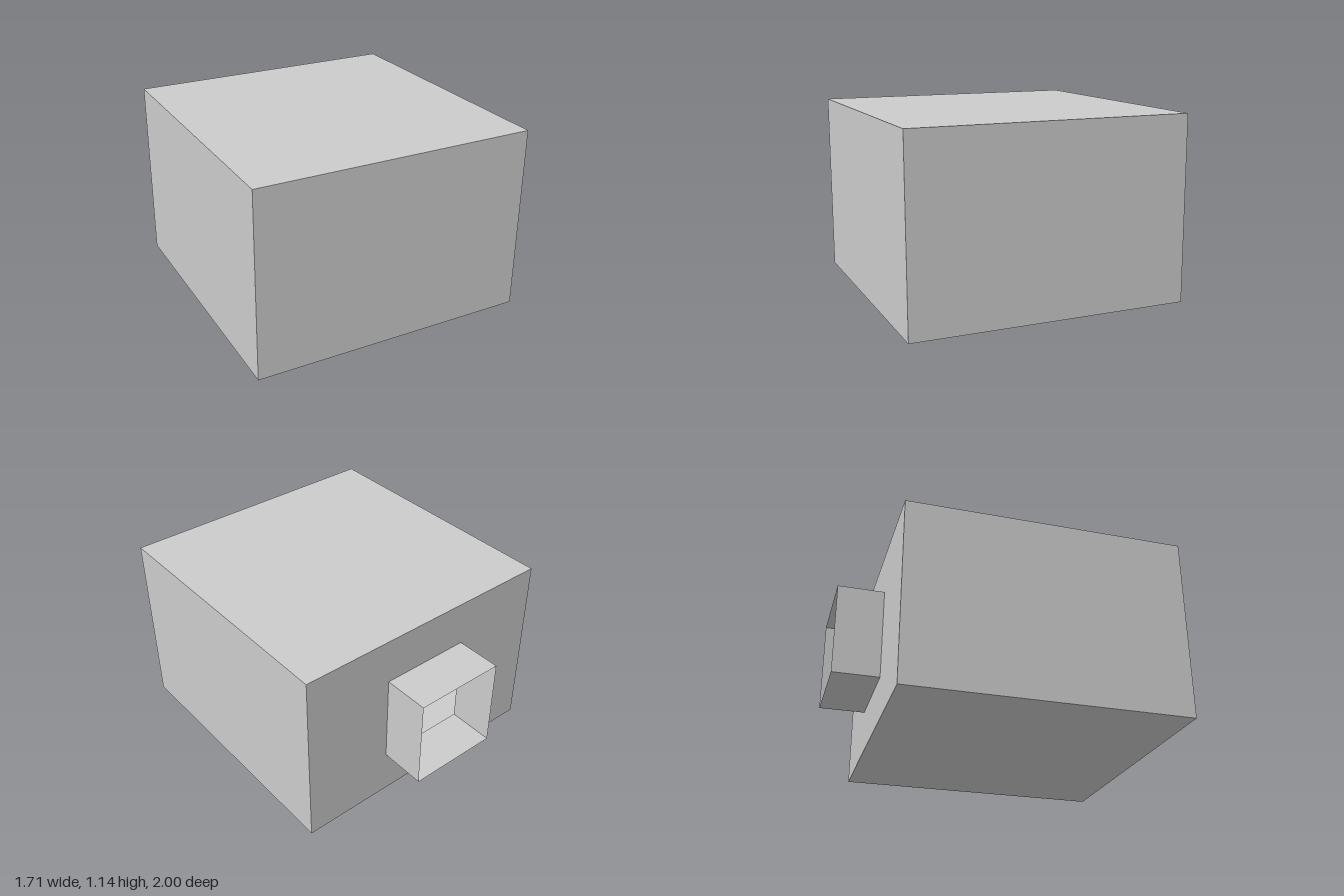
import * as THREE from 'three';

const U = 2 / 7; // modular unit: room is 6 x 4 x 6, passage is 2 x 2 x 1
const material = new THREE.MeshStandardMaterial({
  color: 0xcccccc, flatShading: true, side: THREE.DoubleSide,
});

// A thin panel facing +z, turned and then placed
function panel(name, w, h, position, rx = 0, ry = 0) {
  const mesh = new THREE.Mesh(new THREE.PlaneGeometry(w, h), material);
  mesh.name = name;
  mesh.rotation.set(rx, ry, 0);
  mesh.position.set(...position);
  return mesh;
}

// Four panels around the z axis: floor, ceiling and two sides
function sleeve(name, w, h, d, y, z) {
  const group = new THREE.Group();
  group.name = name;
  const q = Math.PI / 2;
  group.add(
    panel(name + 'Ceiling', w, d, [0, y + h / 2, z], -q),
    panel(name + 'Floor', w, d, [0, y - h / 2, z], q),
    panel(name + 'LeftWall', d, h, [w / 2, y, z], 0, q),
    panel(name + 'RightWall', d, h, [-w / 2, y, z], 0, -q),
  );
  return group;
}

// Rectangle outline centred on the origin
function rectangle(PathType, w, h) {
  return new PathType([[-1, -1], [1, -1], [1, 1], [-1, 1]]
    .map(([x, y]) => new THREE.Vector2(x * w / 2, y * h / 2)));
}

export function createModel() {
  const model = new THREE.Group();
  model.name = 'roomWithPassage';

  // Hollow room with a closed front
  const room = sleeve('room', 6 * U, 4 * U, 6 * U, 2 * U, 0.5 * U);
  room.add(panel('roomFrontWall', 6 * U, 4 * U, [0, 2 * U, 3.5 * U]));

  // Back wall with the doorway cut out
  const outline = rectangle(THREE.Shape, 6 * U, 4 * U);
  outline.holes.push(rectangle(THREE.Path, 2 * U, 2 * U));
  const backWall = new THREE.Mesh(new THREE.ShapeGeometry(outline), material);
  backWall.name = 'roomBackWall';
  backWall.rotation.y = Math.PI;
  backWall.position.set(0, 2 * U, -2.5 * U);
  room.add(backWall);

  // Open-ended passage leading out of the back
  const passage = sleeve('passage', 2 * U, 2 * U, U, 2 * U, -3 * U);

  model.add(room, passage);
  return model;
}
